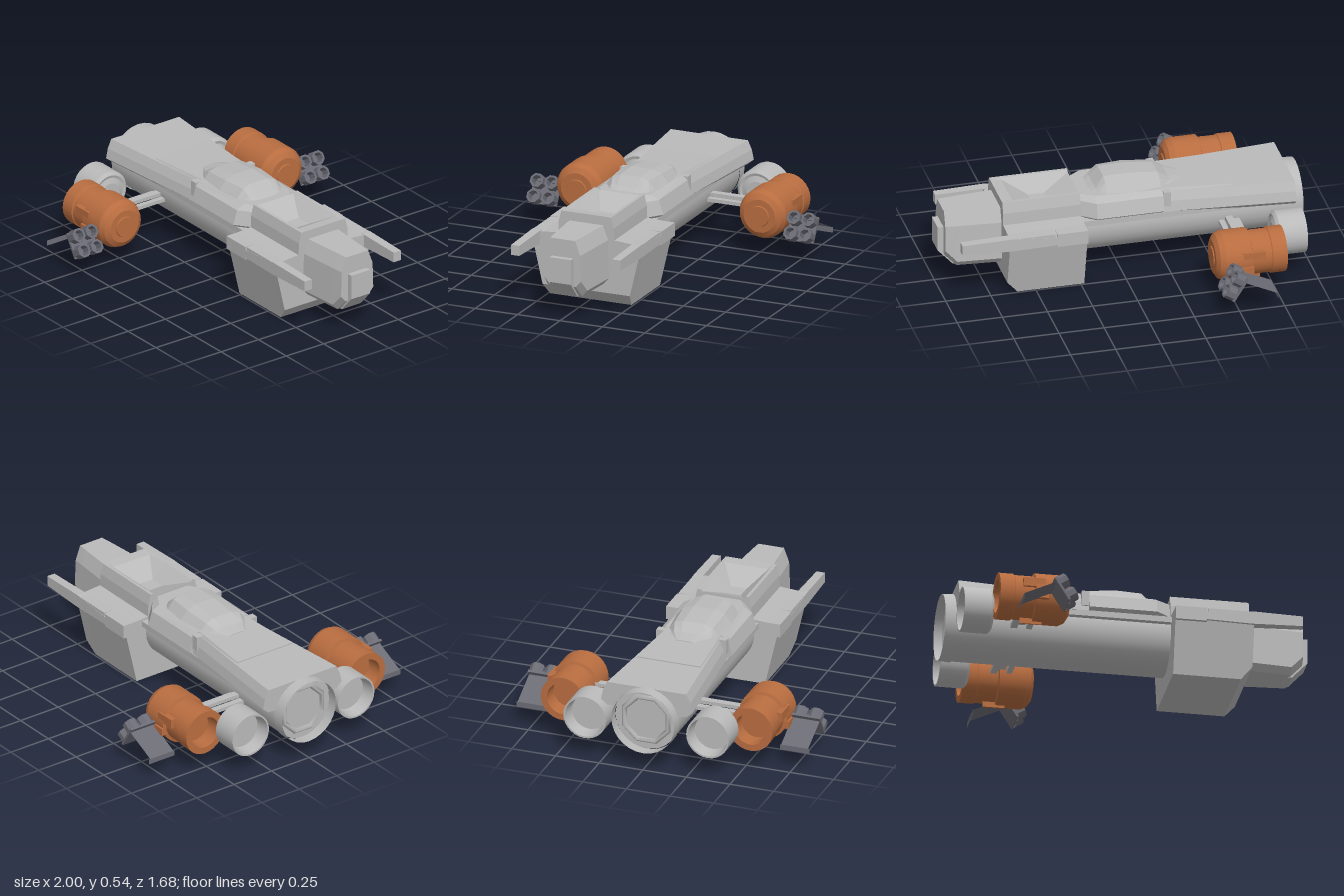
import * as THREE from 'three';

export function createModel() {
  const model = new THREE.Group();
  model.name = 'spaceship';
  const material = (name, color) => Object.assign(new THREE.MeshStandardMaterial({ color, side: THREE.DoubleSide }), { name });
  const grey = material('hull grey', 0xbababa);
  const orange = material('pod orange', 0xb96d40);
  const dark = material('launcher grey', 0x6c6c76);

  const add = (name, geo, mat, x = 0, y = 0, z = 0, parent = model) => {
    const m = new THREE.Mesh(geo, mat);
    m.name = name;
    m.position.set(x, y, z);
    parent.add(m);
    return m;
  };
  const box = (name, mat, x0, x1, y0, y1, z0, z1, parent) =>
    add(name, new THREE.BoxGeometry(x1 - x0, y1 - y0, Math.abs(z1 - z0)), mat,
      (x0 + x1) / 2, (y0 + y1) / 2, (z0 + z1) / 2, parent);
  // Cylinder along x
  const tube = (r0, r1, len, open = false) =>
    new THREE.CylinderGeometry(r1, r0, len, 28, 1, open).rotateZ(-Math.PI / 2);
  // Turned shape along x from [radius, x] points, each band flat along its length
  const turned = (pts, sides = 28) => {
    const out = [];
    pts.forEach(([r, x], i) => {
      out.push(new THREE.Vector2(r, x));
      if (i > 0 && i < pts.length - 1) out.push(new THREE.Vector2(r, x + 1e-5));
    });
    return new THREE.LatheGeometry(out, sides).rotateZ(-Math.PI / 2);
  };
  // Mirrored cross-sections [x, [[z, y] from bottom to top]] joined along x, with flat faces
  const loft = (sections) => {
    const rings = sections.map(([x, half]) => [
      ...half.map(([z, y]) => [x, y, z]),
      ...[...half].reverse().map(([z, y]) => [x, y, -z]),
    ]);
    const pos = [];
    const tri = (...v) => v.forEach((p) => pos.push(...p));
    const n = rings[0].length;
    for (let s = 0; s < rings.length - 1; s++) {
      const a = rings[s], b = rings[s + 1];
      for (let i = 0; i < n; i++) {
        const j = (i + 1) % n;
        tri(a[i], b[i], b[j]);
        tri(a[i], b[j], a[j]);
      }
    }
    [rings[0], rings[rings.length - 1]].forEach((r, end) => {
      const c = [0, 1, 2].map((k) => r.reduce((t, p) => t + p[k], 0) / n);
      for (let i = 0; i < n; i++) {
        const j = (i + 1) % n;
        if (end) tri(c, r[j], r[i]); else tri(c, r[i], r[j]);
      }
    });
    const g = new THREE.BufferGeometry();
    g.setAttribute('position', new THREE.Float32BufferAttribute(pos, 3));
    g.computeVertexNormals();
    return g;
  };

  // Round lower hull and main engine bell
  add('lowerHull', tube(0.178, 0.178, 1.17), grey, -0.355, 0.28, 0);
  add('mainEngineBell', tube(0.18, 0.184, 0.07, true), grey, -0.965, 0.28, 0);
  add('mainEngineFrame', new THREE.TorusGeometry(0.135, 0.016, 4, 8).rotateZ(Math.PI / 8).rotateY(Math.PI / 2),
    grey, -0.945, 0.28, 0);

  // Tapering rear deck
  const deck = (w) => [[w - 0.035, 0.325], [w, 0.355], [w - 0.012, 0.41], [w - 0.035, 0.46]];
  add('rearDeck', loft([[-0.94, deck(0.262)], [-0.2, deck(0.195)]]), grey);
  add('deckPlate', loft([
    [-0.6, [[0.19, 0.45], [0.18, 0.466]]],
    [-0.2, [[0.165, 0.45], [0.15, 0.475]]],
  ]), grey);

  // Collar under the canopy, narrowing to the neck
  const collar = (w, t) => [[w - 0.02, 0.355], [w, 0.37], [w - 0.025, 0.45], [t, 0.475]];
  add('collar', loft([
    [-0.22, collar(0.222, 0.165)], [0.15, collar(0.222, 0.15)], [0.23, collar(0.16, 0.1)],
  ]), grey);

  // Canopy
  add('canopy', loft([
    [-0.35, [[0.06, 0.46], [0.05, 0.472], [0.03, 0.475]]],
    [-0.28, [[0.12, 0.46], [0.09, 0.485], [0.05, 0.49]]],
    [-0.22, [[0.15, 0.46], [0.11, 0.512], [0.06, 0.527]]],
    [-0.06, [[0.17, 0.46], [0.118, 0.525], [0.06, 0.543]]],
    [0.08, [[0.155, 0.46], [0.105, 0.525], [0.06, 0.54]]],
    [0.13, [[0.13, 0.46], [0.095, 0.485], [0.06, 0.49]]],
    [0.16, [[0.1, 0.46], [0.08, 0.47], [0.05, 0.475]]],
  ]), grey);

  // Deep head block with upright sides and a pinched hollow in its top
  const head = (x, bottom, pitWidth, pit) => [x, [
    [0.24 + bottom * 0.25, bottom], [0.32, 0.34], [0.315, 0.362], [0.165, 0.372],
    [0.162, 0.44], [0.147, 0.5], [0.13, 0.5], [pitWidth, pit],
  ]];
  add('head', loft([
    head(0.23, 0, 0.12, 0.49), head(0.38, 0, 0.045, 0.425), head(0.47, 0, 0.045, 0.425),
    head(0.6, 0, 0.12, 0.495), head(0.66, 0.07, 0.12, 0.5),
  ]), grey);

  // Nose with a bevelled chin, and its end plate
  const nose = (w, bottom) => [
    [w - 0.03, bottom], [w, bottom + 0.035], [w - 0.005, 0.37], [w - 0.035, 0.45],
  ];
  add('nose', loft([[0.65, nose(0.135, 0.12)], [0.9, nose(0.115, 0.12)], [0.965, nose(0.108, 0.19)]]), grey);
  add('nosePlate', loft([
    [0.88, [[0.063, 0.118], [0.063, 0.35]]],
    [0.912, [[0.063, 0.118], [0.063, 0.35]]],
    [0.997, [[0.063, 0.21], [0.063, 0.35]]],
  ]), grey);

  for (const s of [1, -1]) {
    const side = new THREE.Group();
    side.name = s > 0 ? 'leftSide' : 'rightSide';
    model.add(side);

    // Rails along the hull, deck posts and head shoulders
    box('hullRail', grey, -0.88, 0.23, 0.322, 0.355, s * 0.15, s * 0.203, side);
    box('deckPost', grey, -0.26, -0.22, 0.385, 0.47, s * 0.15, s * 0.2, side);
    box('shoulderRear', grey, 0.23, 0.4, 0.29, 0.366, s * 0.2, s * 0.327, side);
    box('shoulderFront', grey, 0.41, 0.655, 0.3, 0.366, s * 0.2, s * 0.323, side);

    // Forward gun prong
    add('prong', loft([
      [0.4, [[0.027, 0.3], [0.027, 0.345]]],
      [0.65, [[0.026, 0.295], [0.026, 0.368]]],
      [0.925, [[0.024, 0.305], [0.024, 0.362]]],
    ]), grey, 0, 0, s * 0.298, side);

    // Side engine
    add('sideEngine', turned([
      [0.1, -0.87], [0.112, -0.95], [0.122, -0.95], [0.122, -0.8],
      [0.105, -0.785], [0.09, -0.79], [0.06, -0.78], [0, -0.78],
    ]), grey, 0, 0.23, s * 0.352, side);
    add('engineDisc', tube(0.1, 0.1, 0.01), grey, -0.87, 0.23, s * 0.352, side);

    // Slim struts from the hull to the pod
    [[-0.645, -0.61, 0.25], [-0.605, -0.565, 0.27], [-0.56, -0.53, 0.25]].forEach(([a, b, y]) =>
      box('strut', grey, a, b, y - 0.02, y, s * 0.14, s * 0.425, side));

    // Orange pod with a hollow rear and a stepped front
    add('pod', turned([
      [0, -0.7], [0.085, -0.7], [0.09, -0.79], [0.126, -0.79], [0.126, -0.71], [0.12, -0.705], [0.12, -0.6],
      [0.137, -0.595], [0.137, -0.45], [0.122, -0.42], [0.093, -0.402], [0.058, -0.402], [0.055, -0.396], [0, -0.396],
    ]), orange, 0, 0.237, s * 0.538, side);
    box('podBlock', orange, -0.665, -0.545, 0.25, 0.3, s * 0.62, s * 0.672, side);
    box('podTab', orange, -0.665, -0.545, 0.086, 0.13, s * 0.536, s * 0.544, side);
    box('launcherMount', orange, -0.6, -0.53, 0.18, 0.22, s * 0.64, s * 0.685, side);

    // Backing plate sloping down to the rear, ending in a small lip
    const backing = new THREE.Group();
    backing.name = 'launcherBacking';
    backing.position.set(-0.48, 0.228, s * 0.755);
    backing.rotation.z = 0.44;
    side.add(backing);
    add('launcherPlate', new THREE.PlaneGeometry(0.235, 0.155).rotateX(-Math.PI / 2), dark, -0.1175, 0, 0, backing);
    add('launcherLip', new THREE.PlaneGeometry(0.03, 0.17).rotateX(-Math.PI / 2).rotateZ(1.15),
      dark, -0.241, -0.0137, 0, backing);

    // Tilted launcher with four hollow eight-sided tubes
    const launcher = new THREE.Group();
    launcher.name = 'launcher';
    launcher.position.set(-0.485, 0.172, s * 0.757);
    launcher.rotation.z = 0.56;
    side.add(launcher);
    box('launcherBack', dark, -0.005, 0.008, -0.074, 0.074, -0.08, 0.08, launcher);
    for (const y of [-0.043, 0.043]) for (const z of [-0.043, 0.043]) {
      const shell = turned([[0.026, 0], [0.028, 0.055], [0.04, 0.055], [0.04, 0]], 8).rotateX(Math.PI / 8).toNonIndexed();
      shell.computeVertexNormals();
      add('launchTube', shell, dark, 0.004, y, z, launcher);
    }
  }
  return model;
}
